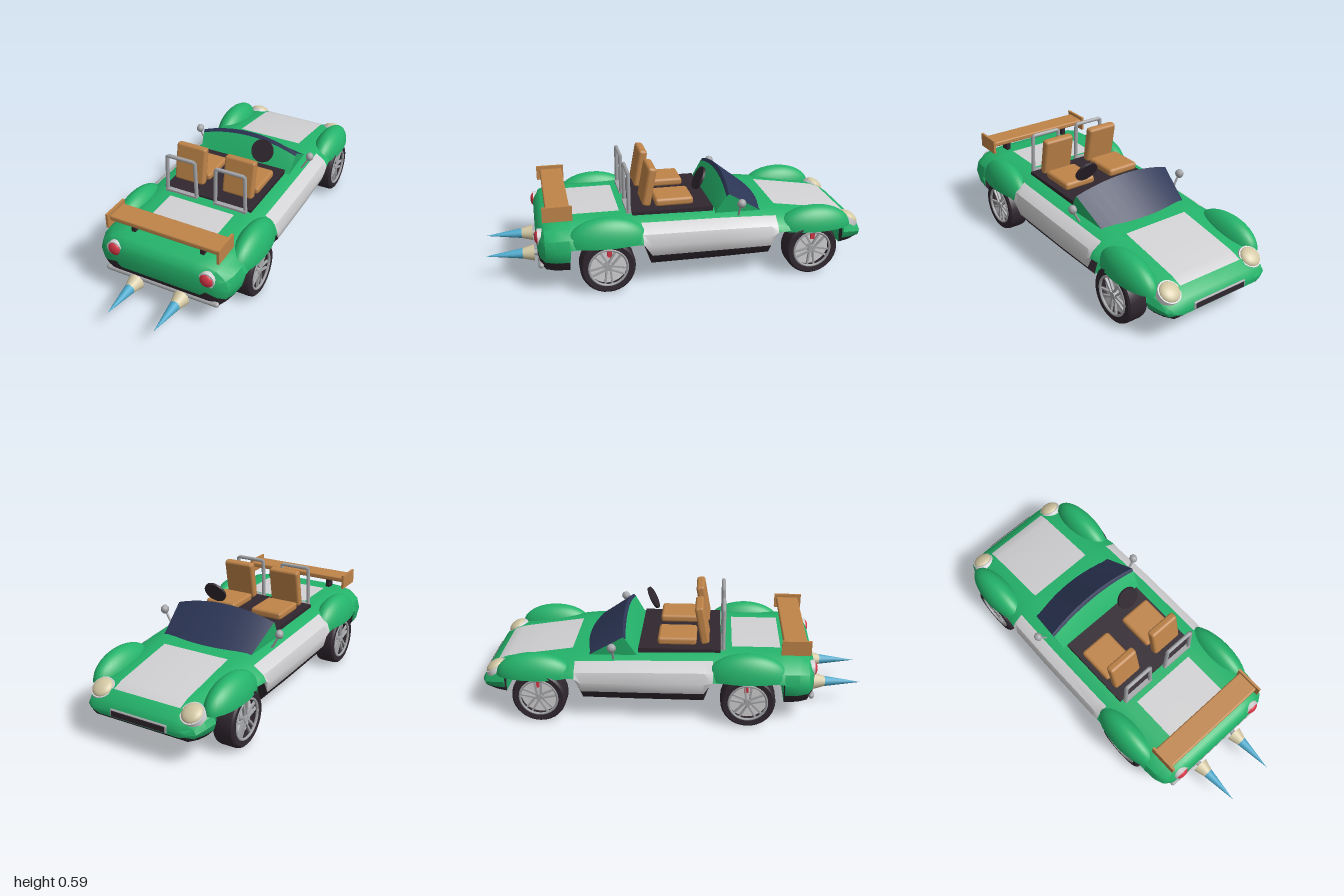
import * as THREE from 'three';
import { toCreasedNormals } from 'three/addons/utils/BufferGeometryUtils.js';
import { RoundedBoxGeometry } from 'three/addons/geometries/RoundedBoxGeometry.js';

const mat = (name, color, side = THREE.FrontSide) => {
  const m = new THREE.MeshStandardMaterial({ color, side });
  m.name = name;
  return m;
};

export function createModel() {
  const green = mat('green paint', 0x24b46b, THREE.DoubleSide);
  const silver = mat('silver panel', 0xd2d2d4);
  const black = mat('black', 0x30272f);
  const metal = mat('metal', 0xa6a7aa);
  const tan = mat('tan', 0xbf8449);
  const navy = mat('navy glass', 0x2c3656);
  const red = mat('red', 0xd23545);
  const cream = mat('cream', 0xd3c8a4);
  const blue = mat('blue flame', 0x4ba9cc);

  const car = new THREE.Group();
  car.name = 'car';
  const add = (name, geo, material, x = 0, y = 0, z = 0, parent = car) => {
    const m = new THREE.Mesh(geo, material);
    m.name = name;
    m.position.set(x, y, z);
    parent.add(m);
    return m;
  };
  const box = (w, h, d) => new THREE.BoxGeometry(w, h, d);
  const cyl = (r1, r2, h, n = 20) => new THREE.CylinderGeometry(r1, r2, h, n);

  // Collects triangles by material into one grouped geometry
  const painter = (materials) => {
    const buckets = materials.map(() => []);
    return {
      tri: (m, ...pts) => pts.forEach((p) => buckets[materials.indexOf(m)].push(...p)),
      quad(m, a, b, c, d) { this.tri(m, a, b, c, a, c, d); },
      build(crease) {
        const g = new THREE.BufferGeometry();
        g.setAttribute('position', new THREE.Float32BufferAttribute(buckets.flat(), 3));
        let start = 0;
        buckets.forEach((b, i) => { g.addGroup(start, b.length / 3, i); start += b.length / 3; });
        return toCreasedNormals(g, crease);
      },
    };
  };

  // Body shell: z, half width, top, bottom, wheel arch height
  const arch = 0.25;
  const stations = [
    [-0.99, 0.26, 0.19, 0.155, 0], [-0.97, 0.3, 0.225, 0.135, 0], [-0.92, 0.322, 0.258, 0.125, 0],
    [-0.865, 0.335, 0.278, 0.12, 0], [-0.86, 0.335, 0.279, 0.12, arch], [-0.7, 0.345, 0.305, 0.12, arch],
    [-0.52, 0.375, 0.333, 0.12, arch], [-0.49, 0.378, 0.336, 0.12, arch], [-0.455, 0.381, 0.339, 0.12, 0],
    [-0.2, 0.387, 0.352, 0.12, 0], [0.17, 0.387, 0.36, 0.12, 0], [0.215, 0.385, 0.361, 0.12, arch],
    [0.31, 0.384, 0.362, 0.12, arch], [0.56, 0.383, 0.362, 0.12, arch], [0.575, 0.382, 0.362, 0.12, arch],
    [0.58, 0.382, 0.361, 0.12, 0], [0.65, 0.376, 0.357, 0.12, 0], [0.7, 0.357, 0.345, 0.125, 0],
    [0.725, 0.32, 0.32, 0.15, 0], [0.735, 0.26, 0.295, 0.185, 0],
  ];
  const ring = ([z, w, top, bot, clip]) => {
    const half = [[0, 0], [0.85 * w, 0], [0.96 * w, 0.25], [w, 0.5], [0.96 * w, 0.74],
      [0.82 * w, 0.92], [Math.max(0.62 * w, 0.19), 0.985], [0.185, 1], [0, 1]]
      .map(([x, f]) => [x, Math.max(bot + (top - bot) * f, clip), z]);
    return [...half, ...half.slice(1, -1).reverse().map(([x, y, q]) => [-x, y, q])];
  };
  const rings = stations.map(ring);
  const n = rings[0].length;
  const bodyMats = [green, silver, black];
  const shell = painter(bodyMats);
  for (let i = 0; i < rings.length - 1; i++) {
    const z = (stations[i][0] + stations[i + 1][0]) / 2;
    const arched = stations[i][4] && stations[i + 1][4];
    const step = stations[i][4] !== stations[i + 1][4];
    for (let j = 0; j < n; j++) {
      const row = Math.min(j, n - 1 - j);
      let m = green;
      if (!arched && (row === 1 || (row === 0 && !step))) m = black;
      if (row >= 2 && row <= 4 && z > -0.5 && z < 0.22) m = silver;
      if (row === 7 && ((z > -0.92 && z < -0.52) || (z > 0.31 && z < 0.56))) m = silver;
      const k = (j + 1) % n;
      shell.quad(m, rings[i][j], rings[i][k], rings[i + 1][k], rings[i + 1][j]);
    }
  }
  const first = rings[0], last = rings[rings.length - 1];
  for (let j = 0; j < n; j++) {
    const k = (j + 1) % n;
    shell.tri(green, [0, 0.172, -0.99], first[k], first[j]);
    shell.tri(green, [0, 0.24, 0.738], last[j], last[k]);
  }
  add('body', shell.build(0.6), bodyMats);

  // Windscreen wedge, arched across its width
  const glassMats = [navy, green];
  const wedge = painter(glassMats);
  const slice = (u) => [
    [0.255 * u, 0.328 - 0.01 * u * u, -0.465 + 0.02 * u * u],
    [0.285 * u, 0.497 - 0.05 * u * u, -0.258 + 0.015 * u * u],
    [0.283 * u, 0.479 - 0.045 * u * u, -0.243 + 0.012 * u * u],
    [0.272 * u, 0.335, -0.172],
  ];
  for (let i = -5; i < 5; i++) {
    const a = slice(i / 5), b = slice((i + 1) / 5);
    for (let k = 0; k < 3; k++) wedge.quad(k < 2 ? navy : green, a[k], a[k + 1], b[k + 1], b[k]);
  }
  for (const s of [-1, 1]) {
    const [f, t, q, r] = slice(s);
    if (s > 0) wedge.quad(green, f, t, q, r);
    else wedge.quad(green, r, q, t, f);
  }
  add('windscreen', wedge.build(0.4), glassMats);

  // Cockpit floor and steering wheel
  add('cockpitFloor', box(0.5, 0.05, 0.42), black, 0, 0.347, 0.04);
  const steering = add('steeringWheel', cyl(0.062, 0.062, 0.012, 24), black, 0.137, 0.49, -0.118);
  steering.rotation.x = 1.1;

  // Grille
  add('grilleFrame', new RoundedBoxGeometry(0.32, 0.042, 0.02, 2, 0.009), metal, 0, 0.176, -0.984);
  add('grille', box(0.295, 0.028, 0.01), black, 0, 0.176, -0.991);

  // Wheel with a tyre, disc, five split spokes and a brake caliper
  const profile = [[0.1, -0.052], [0.128, -0.055], [0.137, -0.047], [0.14, -0.035], [0.14, 0.035],
    [0.137, 0.047], [0.128, 0.055], [0.1, 0.052], [0.1, -0.052]].map(([x, y]) => new THREE.Vector2(x, y));
  const tyreGeo = toCreasedNormals(new THREE.LatheGeometry(profile, 32), 0.5);
  const makeWheel = () => {
    const g = new THREE.Group();
    g.name = 'wheel';
    add('tyre', tyreGeo, black, 0, 0, 0, g);
    add('brakeDisc', cyl(0.1, 0.1, 0.05, 32), silver, 0, -0.01, 0, g);
    const rim = add('rim', new THREE.TorusGeometry(0.097, 0.007, 6, 32), metal, 0, 0.05, 0, g);
    rim.rotation.x = Math.PI / 2;
    add('hub', cyl(0.018, 0.022, 0.03, 12), metal, 0, 0.035, 0, g);
    for (let i = 0; i < 5; i++) {
      const arm = new THREE.Group();
      arm.name = 'spoke';
      arm.rotation.y = i * Math.PI * 0.4;
      for (const s of [-1, 1]) {
        const bar = add('spokeBar', box(0.085, 0.012, 0.009), metal, 0.055, 0.041, s * 0.014, arm);
        bar.rotation.y = -s * 0.1;
      }
      g.add(arm);
    }
    return g;
  };

  for (const s of [-1, 1]) {
    // Wheels and fenders
    for (const [end, z, fz, fx, fy, ry, rz] of [['rear', 0.395, 0.39, 0.33, 0.255, 0.137, 0.21],
      ['front', -0.675, -0.7, 0.312, 0.24, 0.12, 0.2]]) {
      const wheel = makeWheel();
      wheel.name = end + 'Wheel';
      wheel.rotation.z = -s * Math.PI / 2;
      wheel.position.set(s * 0.33, 0.14, z);
      car.add(wheel);
      add('brakeCaliper', box(0.062, 0.04, 0.022), red, s * 0.325, 0.205, z - 0.01);
      const fender = add(end + 'Fender',
        new THREE.SphereGeometry(1, 32, 12, 0, Math.PI * 2, 0, Math.PI / 2), green, s * fx, fy, fz);
      fender.scale.set(0.08, ry, rz);
    }

    // Seats
    const cushion = new RoundedBoxGeometry(0.18, 0.042, 0.2, 1, 0.015);
    add('seatCushion', cushion, tan, s * 0.14, 0.402, 0.028);
    const back = add('seatBack', new RoundedBoxGeometry(0.172, 0.205, 0.045, 1, 0.014), tan, s * 0.14, 0.488, 0.156);
    back.rotation.x = -0.18;

    // Roll hoop
    const hoop = new THREE.CurvePath();
    const pts = [[-0.086, 0.365], [-0.08, 0.572], [0.08, 0.572], [0.086, 0.365]]
      .map(([x, y]) => new THREE.Vector3(x, y, 0));
    for (let i = 0; i < 3; i++) hoop.add(new THREE.LineCurve3(pts[i], pts[i + 1]));
    add('rollHoop', new THREE.TubeGeometry(hoop, 48, 0.0105, 8), metal, s * 0.14, 0, 0.265);
    add('rollHoopBase', box(0.185, 0.014, 0.025), metal, s * 0.14, 0.366, 0.265);

    // Mirrors
    const stalk = add('mirrorStalk', cyl(0.006, 0.006, 0.1, 6), metal, s * 0.322, 0.372, -0.292);
    stalk.rotation.z = -s * 0.5;
    const mirror = add('mirror', new THREE.SphereGeometry(0.024, 8, 6), metal, s * 0.342, 0.413, -0.295);
    mirror.scale.x = 0.9;

    // Headlights, tilted up and forward
    const lamp = new THREE.Group();
    lamp.name = 'headlight';
    lamp.position.set(s * 0.25, 0.243, -0.917);
    lamp.rotation.x = -0.58;
    add('headlightRing', cyl(0.058, 0.062, 0.025, 24), silver, 0, 0, 0, lamp);
    add('headlightLens', new THREE.SphereGeometry(0.052, 20, 8, 0, Math.PI * 2, 0, Math.PI / 2),
      cream, 0, 0.01, 0, lamp).scale.y = 0.5;
    car.add(lamp);

    // Tail lights
    const bezel = add('tailLightRing', cyl(0.043, 0.043, 0.05, 24), silver, s * 0.255, 0.283, 0.707);
    bezel.rotation.x = Math.PI / 2;
    add('tailLight', new THREE.SphereGeometry(0.037, 20, 12), red, s * 0.255, 0.283, 0.726).scale.z = 0.6;

    // Exhaust pipes with flame cones
    for (const [name, r1, r2, len, z, m] of [['exhaustPipe', 0.015, 0.015, 0.09, 0.71, metal],
      ['exhaustNozzle', 0.027, 0.044, 0.06, 0.78, cream], ['exhaustFlame', 0, 0.027, 0.19, 0.905, blue]]) {
      add(name, cyl(r1, r2, len, 12), m, s * 0.127, 0.139, z).rotation.x = Math.PI / 2;
    }

    // Wing posts and end plates
    add('wingPost', box(0.022, 0.075, 0.05), black, s * 0.19, 0.382, 0.625);
    add('wingEndPlate', box(0.013, 0.077, 0.148), tan, s * 0.303, 0.418, 0.63);
  }

  // Wing and rear bumper
  add('wing', new RoundedBoxGeometry(0.6, 0.028, 0.12, 2, 0.008), tan, 0, 0.427, 0.626);
  const bumper = add('rearBumper', new THREE.CapsuleGeometry(0.014, 0.605, 4, 10), metal, 0, 0.147, 0.722);
  bumper.rotation.z = Math.PI / 2;

  return car;
}
